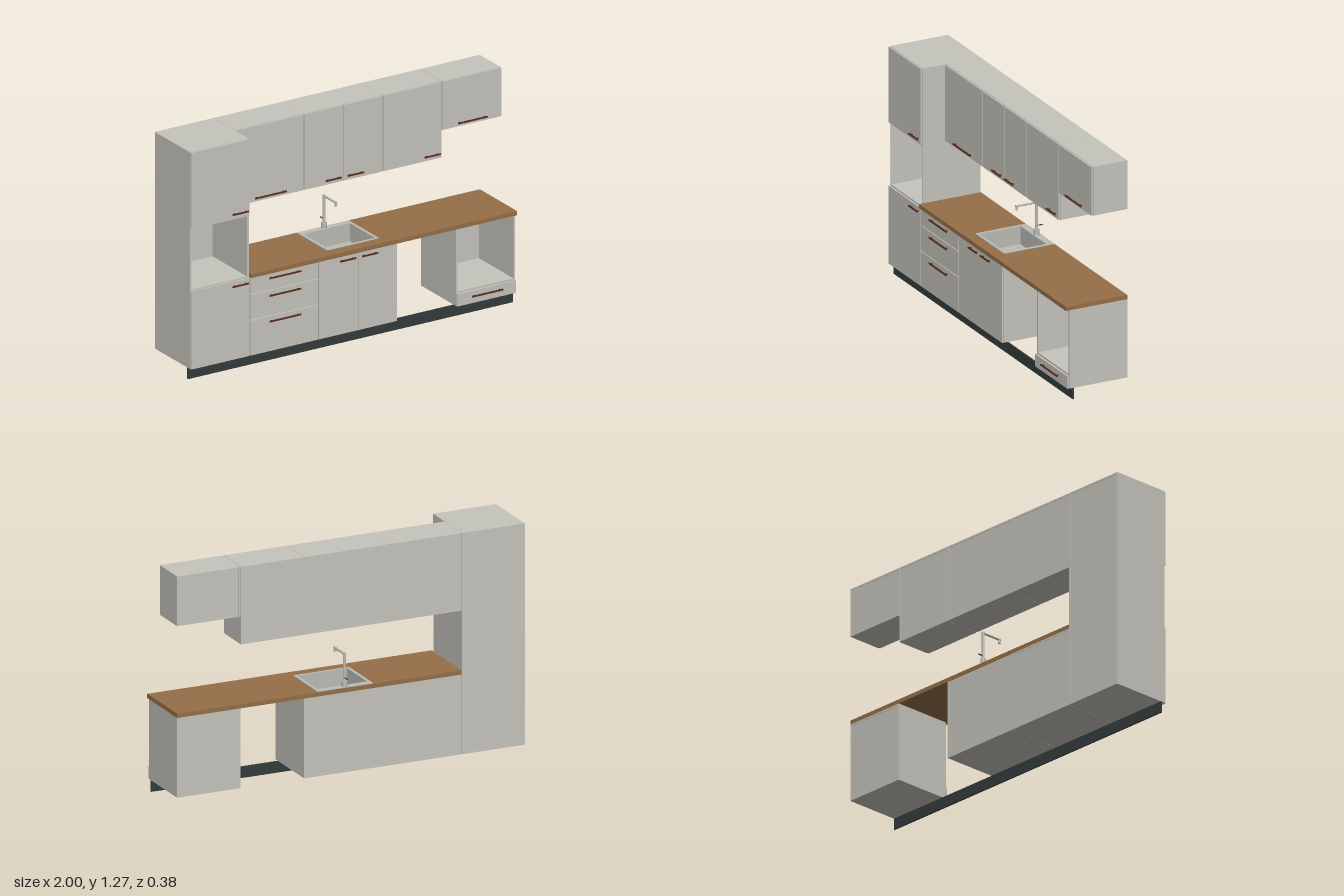
import * as THREE from 'three';

const mat = (name, color, side = THREE.FrontSide) => {
  const m = new THREE.MeshStandardMaterial({ color, side });
  m.name = name;
  return m;
};

export function createModel() {
  const cabinetGrey = mat('cabinetGrey', 0xc5c3bc);
  const wood = mat('worktopWood', 0x956f47);
  const plinthDark = mat('plinthDark', 0x343b3b);
  const handleBrown = mat('handleBrown', 0x5e2c1c);
  const steel = mat('steel', 0xbcbcb6);

  const kitchen = new THREE.Group();
  kitchen.name = 'kitchen';
  const T = 0.01; // panel thickness
  const BACK = -0.175, BASE_FRONT = 0.165, WALL_FRONT = 0.025;

  // Box given by its limits on each axis
  function box(parent, name, material, x0, x1, y0, y1, z0, z1) {
    const mesh = new THREE.Mesh(new THREE.BoxGeometry(x1 - x0, y1 - y0, z1 - z0), material);
    mesh.position.set((x0 + x1) / 2, (y0 + y1) / 2, (z0 + z1) / 2);
    mesh.name = name;
    parent.add(mesh);
    return mesh;
  }

  // Horizontal slab with a rectangular opening; rectangles are [x0, x1, z0, z1]
  function slabWithHole(parent, name, material, outer, inner, y0, y1) {
    const corners = ([x0, x1, z0, z1]) => [[x0, z0], [x1, z0], [x1, z1], [x0, z1]]
      .map(([x, z]) => new THREE.Vector2(x, z));
    const shape = new THREE.Shape(corners(outer));
    shape.holes.push(new THREE.Path(corners(inner)));
    const geo = new THREE.ExtrudeGeometry(shape, { depth: y1 - y0, bevelEnabled: false });
    geo.rotateX(Math.PI / 2);
    const mesh = new THREE.Mesh(geo, material);
    mesh.position.y = y1;
    mesh.name = name;
    parent.add(mesh);
  }

  // Hollow cabinet made of panels, open at the front
  function carcass(name, x0, x1, y0, y1, front, { top = true, shelves = [] } = {}) {
    const g = new THREE.Group();
    g.name = name;
    box(g, 'leftSide', cabinetGrey, x1 - T, x1, y0, y1, BACK, front);
    box(g, 'rightSide', cabinetGrey, x0, x0 + T, y0, y1, BACK, front);
    box(g, 'bottom', cabinetGrey, x0 + T, x1 - T, y0, y0 + T, BACK, front);
    if (top) box(g, 'top', cabinetGrey, x0 + T, x1 - T, y1 - T, y1, BACK, front);
    for (const y of shelves) box(g, 'shelf', cabinetGrey, x0 + T, x1 - T, y, y + T, BACK + 0.006, front);
    box(g, 'backPanel', cabinetGrey, x0 + T, x1 - T, y0 + T, top ? y1 - T : y1, BACK + 0.002, BACK + 0.006);
    kitchen.add(g);
  }

  // Bar handle on two short posts
  function handle(parent, x0, x1, y, z) {
    const g = new THREE.Group();
    g.name = 'handle';
    box(g, 'bar', handleBrown, x0, x1, y - 0.004, y + 0.004, z + 0.009, z + 0.015);
    for (const x of [x0 + 0.012, x1 - 0.018])
      box(g, 'post', handleBrown, x, x + 0.006, y - 0.003, y + 0.003, z, z + 0.009);
    parent.add(g);
  }

  // Door or drawer front with its handle
  function frontPanel(name, x0, x1, y0, y1, z, hx0, hx1, hy) {
    const g = new THREE.Group();
    g.name = name;
    box(g, 'panel', cabinetGrey, x0 + 0.002, x1 - 0.002, y0 + 0.002, y1 - 0.002, z + 0.002, z + 0.011);
    handle(g, hx0, hx1, hy, z + 0.011);
    kitchen.add(g);
  }

  // Tall cabinet with an open appliance niche
  carcass('tallCabinet', -1, -0.638, 0.063, 1.275, BASE_FRONT, { shelves: [0.495, 0.842] });
  frontPanel('tallLowerDoor', -1, -0.638, 0.061, 0.5, BASE_FRONT, -0.75, -0.652, 0.475);
  frontPanel('tallUpperDoor', -1, -0.638, 0.85, 1.276, BASE_FRONT, -0.75, -0.652, 0.878);

  // Base cabinets
  carcass('drawerCabinet', -0.637, -0.216, 0.063, 0.5, BASE_FRONT);
  for (const [y0, y1, hy] of [[0.061, 0.26, 0.233], [0.26, 0.404, 0.377], [0.404, 0.5, 0.475]])
    frontPanel('drawerFront', -0.637, -0.216, y0, y1, BASE_FRONT, -0.525, -0.33, hy);
  carcass('sinkCabinet', -0.215, 0.27, 0.063, 0.5, BASE_FRONT, { top: false });
  frontPanel('sinkDoorRight', -0.215, 0.028, 0.061, 0.5, BASE_FRONT, -0.09, 0.008, 0.475);
  frontPanel('sinkDoorLeft', 0.028, 0.27, 0.061, 0.5, BASE_FRONT, 0.047, 0.145, 0.475);
  carcass('ovenCabinet', 0.637, 1, 0.063, 0.5, BASE_FRONT, { shelves: [0.132] });
  frontPanel('ovenDrawerFront', 0.637, 1, 0.061, 0.134, BASE_FRONT, 0.722, 0.912, 0.104);

  // Wall cabinets
  const wall = [
    ['wideWallCabinet', -0.637, -0.216, 0.85],
    ['doubleWallCabinet', -0.215, 0.27, 0.85],
    ['singleWallCabinet', 0.271, 0.633, 0.85],
    ['shortWallCabinet', 0.635, 1, 1.003],
  ];
  for (const [name, x0, x1, y0] of wall) carcass(name, x0, x1, y0, 1.275, WALL_FRONT);
  const wallDoors = [
    [-0.637, -0.216, 0.85, -0.525, -0.33, 0.874],
    [-0.215, 0.028, 0.85, -0.09, 0.008, 0.878],
    [0.028, 0.27, 0.85, 0.047, 0.145, 0.878],
    [0.271, 0.633, 0.85, 0.518, 0.616, 0.878],
    [0.635, 1, 1.002, 0.727, 0.905, 1.025],
  ];
  for (const [x0, x1, y0, h0, h1, hy] of wallDoors)
    frontPanel('wallDoor', x0, x1, y0, 1.276, WALL_FRONT, h0, h1, hy);

  // Plinth in two lengths
  box(kitchen, 'plinthRight', plinthDark, -1, -0.216, 0, 0.062, 0.138, 0.146);
  box(kitchen, 'plinthLeft', plinthDark, -0.215, 1, 0, 0.062, 0.138, 0.146);

  // Worktop with sink cut-out
  box(kitchen, 'worktopRight', wood, -0.637, -0.126, 0.5, 0.523, BACK, 0.186);
  slabWithHole(kitchen, 'worktopLeft', wood, [-0.125, 1, BACK, 0.186], [-0.118, 0.178, -0.15, 0.113], 0.5, 0.523);

  // Sink: rim and open basin
  const sink = new THREE.Group();
  sink.name = 'sink';
  const [sx0, sx1, sz0, sz1] = [-0.113, 0.173, -0.132, 0.108];
  slabWithHole(sink, 'rim', steel, [-0.13, 0.19, -0.17, 0.123], [sx0, sx1, sz0, sz1], 0.522, 0.526);
  const sy = 0.425, st = 0.004;
  box(sink, 'basinFloor', steel, sx0, sx1, sy - st, sy, sz0, sz1);
  for (const x of [sx0 - st, sx1]) box(sink, 'basinSide', steel, x, x + st, sy - st, 0.523, sz0, sz1);
  for (const z of [sz0 - st, sz1]) box(sink, 'basinEnd', steel, sx0 - st, sx1 + st, sy - st, 0.523, z, z + st);
  kitchen.add(sink);

  // Tap
  const tap = new THREE.Group();
  tap.name = 'tap';
  tap.position.set(0.027, 0, -0.153);
  function rod(name, material, r, length, x, y, z, alongZ = false) {
    const geo = new THREE.CylinderGeometry(r, r, length, 20);
    if (alongZ) geo.rotateX(Math.PI / 2);
    const mesh = new THREE.Mesh(geo, material);
    mesh.position.set(x, y, z);
    mesh.name = name;
    tap.add(mesh);
  }
  rod('base', steel, 0.015, 0.03, 0, 0.54, 0);
  rod('column', steel, 0.008, 0.16, 0, 0.63, 0);
  rod('spout', steel, 0.006, 0.126, 0, 0.704, 0.06, true);
  rod('nozzle', steel, 0.007, 0.026, 0, 0.695, 0.115);
  rod('lever', handleBrown, 0.003, 0.03, 0, 0.574, -0.021, true);
  kitchen.add(tap);

  return kitchen;
}
